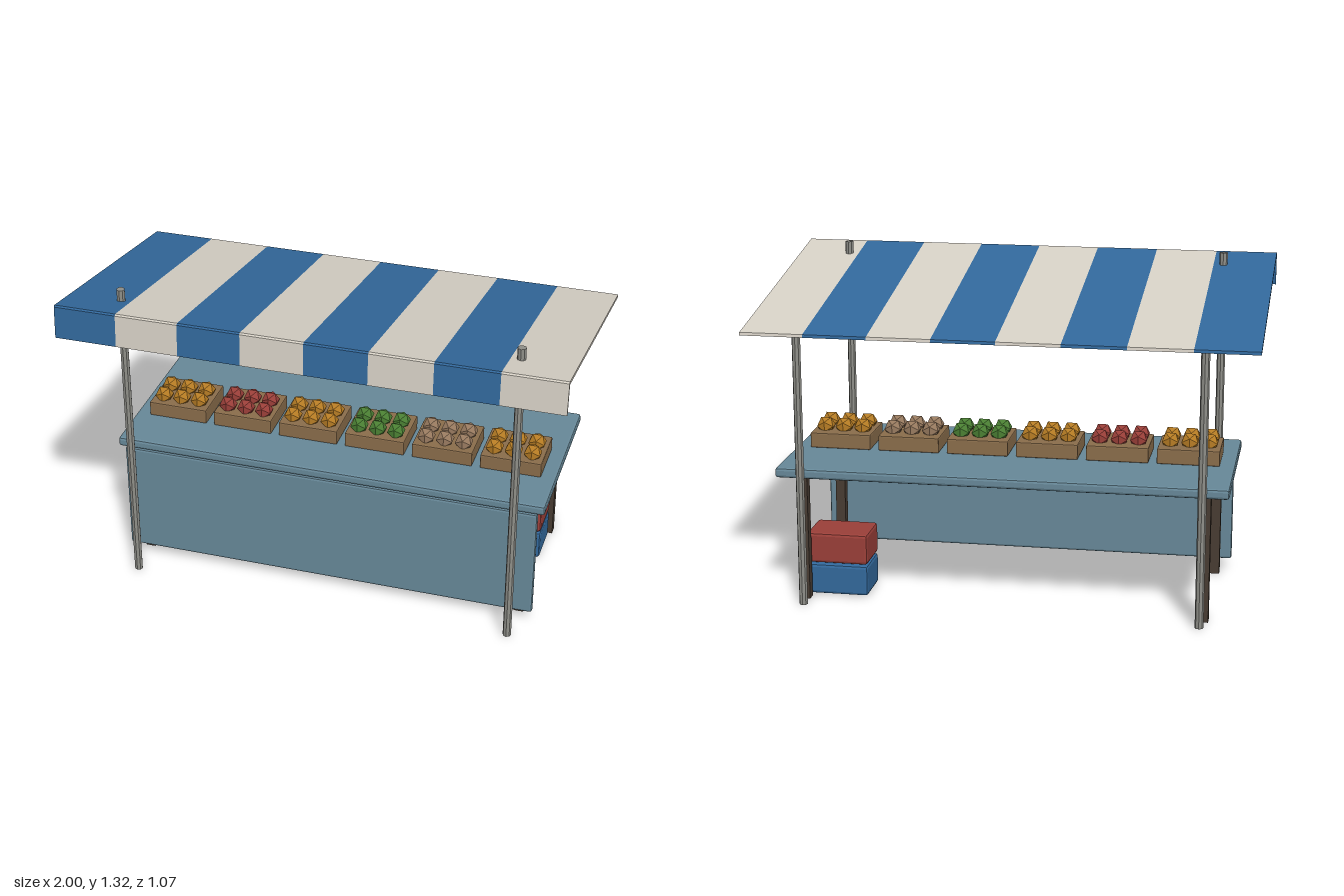
import * as THREE from 'three';
import { RoundedBoxGeometry } from 'three/addons/geometries/RoundedBoxGeometry.js';

const paint = (name, color) => {
  const m = new THREE.MeshStandardMaterial({ color, flatShading: true });
  m.name = name;
  return m;
};

export function createModel() {
  const blue = paint('blue', 0x32689b);
  const cream = paint('cream', 0xd6d0c5);
  const teal = paint('tablePaint', 0x678898);
  const darkWood = paint('darkWood', 0x483c32);
  const crateWood = paint('crateWood', 0x8a6d4b);
  const red = paint('red', 0x9a3f39);
  const orange = paint('orangeFruit', 0xb67c24);
  const green = paint('greenFruit', 0x4a7f33);
  const tan = paint('tanFruit', 0x987a5f);
  const metal = paint('metal', 0x8e8e88);

  const stall = new THREE.Group();
  stall.name = 'marketStall';

  const add = (parent, name, geometry, material, x = 0, y = 0, z = 0) => {
    const mesh = new THREE.Mesh(geometry, material);
    mesh.name = name;
    mesh.position.set(x, y, z);
    parent.add(mesh);
    return mesh;
  };
  const bevelBox = (w, h, d, r) => new RoundedBoxGeometry(w, h, d, 1, r);

  // Table top and front panel
  add(stall, 'tableTop', bevelBox(1.786, 0.04, 0.737, 0.011), teal, 0, 0.54, -0.112);
  add(stall, 'frontPanel', bevelBox(1.73, 0.475, 0.028, 0.01), teal, 0, 0.281, 0.243);

  // Table legs and awning poles, mirrored left and right
  for (const side of [-1, 1]) {
    for (const z of [0.18, -0.4]) {
      add(stall, 'tableLeg', new THREE.BoxGeometry(0.04, 0.52, 0.04), darkWood, side * 0.8, 0.26, z);
    }
    for (const [z, h] of [[0.365, 1.32], [-0.48, 1.11]]) {
      add(stall, 'pole', new THREE.CylinderGeometry(0.017, 0.017, h, 8), metal, side * 0.79, h / 2, z);
    }
  }

  // Striped awning: sloping sheet with a hanging front flap, side profile as (z, y)
  const profile = new THREE.Shape([
    [-0.533, 1.102], [0.516, 1.284], [0.526, 1.163], [0.535, 1.163],
    [0.526, 1.292], [0.52, 1.298], [-0.531, 1.114],
  ].map(([z, y]) => new THREE.Vector2(z, y)));
  const stripe = new THREE.ExtrudeGeometry(profile, { depth: 0.25, bevelEnabled: false });
  stripe.rotateY(-Math.PI / 2);
  const awning = new THREE.Group();
  awning.name = 'awning';
  stall.add(awning);
  for (let i = 0; i < 8; i++) {
    add(awning, 'awningStripe', stripe, i % 2 ? cream : blue, -0.75 + i * 0.25);
  }

  // Crates with two rows of three fruits each
  const fruit = new THREE.IcosahedronGeometry(0.039, 0);
  const crateBox = bevelBox(0.25, 0.062, 0.218, 0.005);
  [orange, red, orange, green, tan, orange].forEach((material, i) => {
    const crate = new THREE.Group();
    crate.name = 'fruitCrate';
    crate.position.set((i - 2.5) * 0.283, 0.56, -0.058);
    stall.add(crate);
    add(crate, 'crate', crateBox, crateWood, 0, 0.031, 0);
    for (let col = -1; col <= 1; col++) {
      for (const z of [0.053, -0.032]) {
        add(crate, 'fruit', fruit, material, col * 0.078, 0.076, z);
      }
    }
  });

  // Storage boxes stacked under the table
  const storage = bevelBox(0.25, 0.125, 0.188, 0.012);
  add(stall, 'lowerStorageBox', storage, blue, 0.68, 0.066, -0.271);
  add(stall, 'upperStorageBox', storage, red, 0.68, 0.197, -0.271);

  return stall;
}
